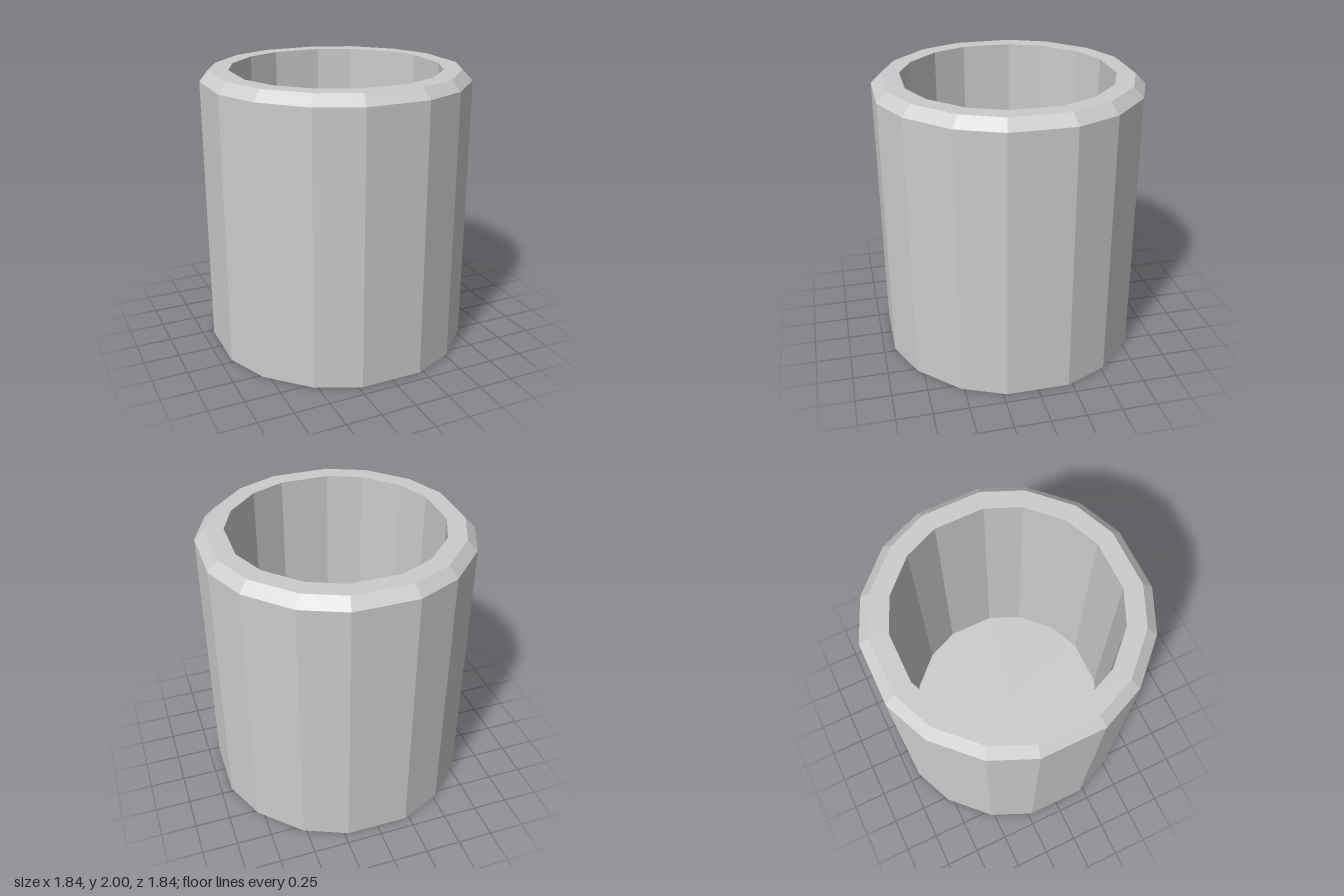
import * as THREE from 'three';

// Corner angles (degrees) within one quarter turn; the 16 sides are slightly uneven.
const CORNERS = [13.5, 33.4, 56.6, 76.5];

// Lathe a profile, then turn each column of points to its own corner angle.
function facetedLathe(profile) {
  const points = profile.map(([r, y]) => new THREE.Vector2(r, y));
  const geometry = new THREE.LatheGeometry(points, 16);
  const position = geometry.attributes.position;
  for (let i = 0; i < position.count; i++) {
    const column = Math.floor(i / points.length);
    const [r, y] = profile[i % points.length];
    const angle = THREE.MathUtils.degToRad(CORNERS[column % 4] + 90 * Math.floor(column / 4));
    position.setXYZ(i, r * Math.sin(angle), y, r * Math.cos(angle));
  }
  geometry.computeVertexNormals();
  return geometry;
}

export function createModel() {
  const group = new THREE.Group();
  group.name = 'cup';
  const material = new THREE.MeshStandardMaterial({ color: 0xcccccc, flatShading: true });

  const parts = {
    // Closed base and outer wall
    outerWall: [[0, 0], [0.947, 0], [0.947, 1.93]],
    // Outer bevel and flat lip
    rim: [[0.947, 1.93], [0.876, 2], [0.747, 2]],
    // Hollow inside with its floor
    innerWall: [[0.747, 2], [0.747, 0.2], [0, 0.2]],
  };
  for (const [name, profile] of Object.entries(parts)) {
    const mesh = new THREE.Mesh(facetedLathe(profile), material);
    mesh.name = name;
    group.add(mesh);
  }
  return group;
}
